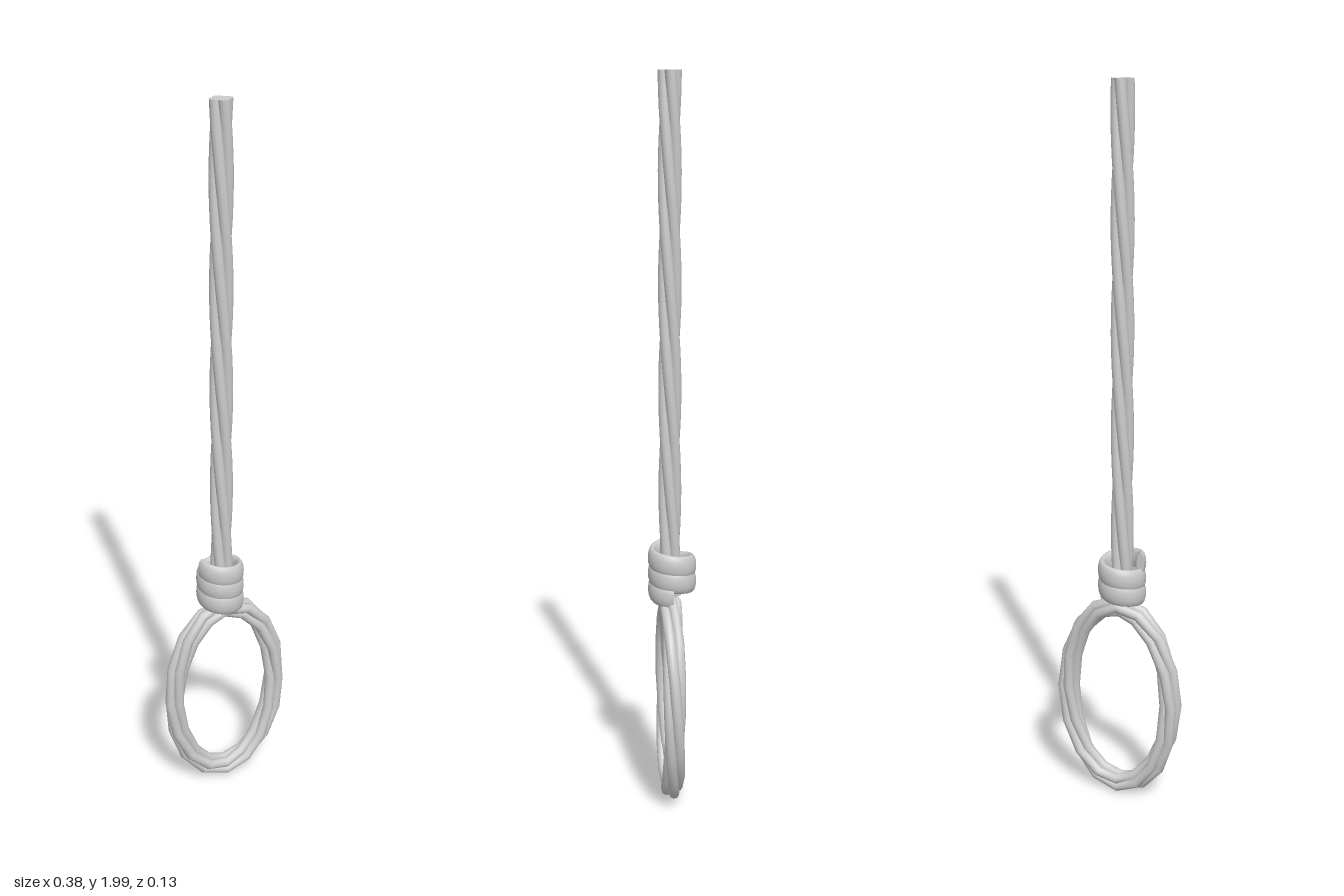
import * as THREE from 'three';

const material = new THREE.MeshStandardMaterial({ color: 0xcccccc, side: THREE.DoubleSide });
const V = (x, y, z) => new THREE.Vector3(x, y, z);

// Sweep an elliptical section along frame(t) -> { c, n, b }, with flat end caps
function sweep(frame, steps, sides, rn, rb) {
  const pos = [], index = [];
  const ring = (f) => {
    for (let j = 0; j < sides; j++) {
      const a = (j / sides) * Math.PI * 2;
      const p = f.c.clone().addScaledVector(f.n, rn * Math.cos(a)).addScaledVector(f.b, rb * Math.sin(a));
      pos.push(p.x, p.y, p.z);
    }
  };
  for (let i = 0; i <= steps; i++) ring(frame(i / steps));
  for (let i = 0; i < steps; i++) {
    for (let j = 0; j < sides; j++) {
      const a = i * sides + j, b = i * sides + ((j + 1) % sides);
      index.push(a, a + sides, b, b, a + sides, b + sides);
    }
  }
  for (const end of [0, 1]) {
    const f = frame(end), first = pos.length / 3;
    ring(f);
    pos.push(f.c.x, f.c.y, f.c.z);
    for (let j = 0; j < sides; j++) {
      const a = first + j, b = first + ((j + 1) % sides);
      index.push(first + sides, end ? b : a, end ? a : b);
    }
  }
  const geo = new THREE.BufferGeometry();
  geo.setAttribute('position', new THREE.Float32BufferAttribute(pos, 3));
  geo.setIndex(index);
  geo.computeVertexNormals();
  return geo;
}

// Four strands twisted round a centre line
function twistedRope(name, frame, steps, turns) {
  const group = new THREE.Group();
  group.name = name;
  for (let k = 0; k < 4; k++) {
    const strand = (t) => {
      const f = frame(t), phi = (k / 4 - turns * t) * Math.PI * 2;
      f.c.addScaledVector(f.n, 0.0163 * Math.sin(phi)).addScaledVector(f.b, 0.0163 * Math.cos(phi));
      return f;
    };
    const mesh = new THREE.Mesh(sweep(strand, steps, 12, 0.0147, 0.0147), material);
    mesh.name = name + 'Strand';
    group.add(mesh);
  }
  return group;
}

export function createModel() {
  const model = new THREE.Group();
  model.name = 'knottedRope';

  // Straight hanging rope, measured upward so that a strand faces front at the top
  const bottom = 0.6, turns = 1.25;
  model.add(twistedRope('straightRope', (t) => ({
    c: V(-0.012, bottom + (2 - bottom) * t, 0.004), n: V(1, 0, 0), b: V(0, 0, 1),
  }), 28, turns));

  // Oval loop, starting and ending inside the binding
  const rx = 0.159, ry = 0.273;
  model.add(twistedRope('loop', (t) => {
    const a = Math.PI / 2 + t * Math.PI * 2;
    return {
      c: V(-0.002 + rx * Math.cos(a), 0.308 + ry * Math.sin(a), 0.004),
      n: V(ry * Math.cos(a), rx * Math.sin(a), 0).normalize(),
      b: V(0, 0, 1),
    };
  }, 16, 1.25));

  // Binding: two and a half flattened coils
  const coil = new THREE.Mesh(sweep((t) => {
    const a = t * 2.5 * Math.PI * 2;
    const n = V(-Math.cos(a), 0, Math.sin(a));
    return { c: n.clone().multiplyScalar(0.055).add(V(-0.014, 0.719 - 0.111 * t, -0.002)), n, b: V(0, 1, 0) };
  }, 80, 14, 0.0115, 0.031), material);
  coil.name = 'bindingCoil';
  model.add(coil);

  return model;
}
